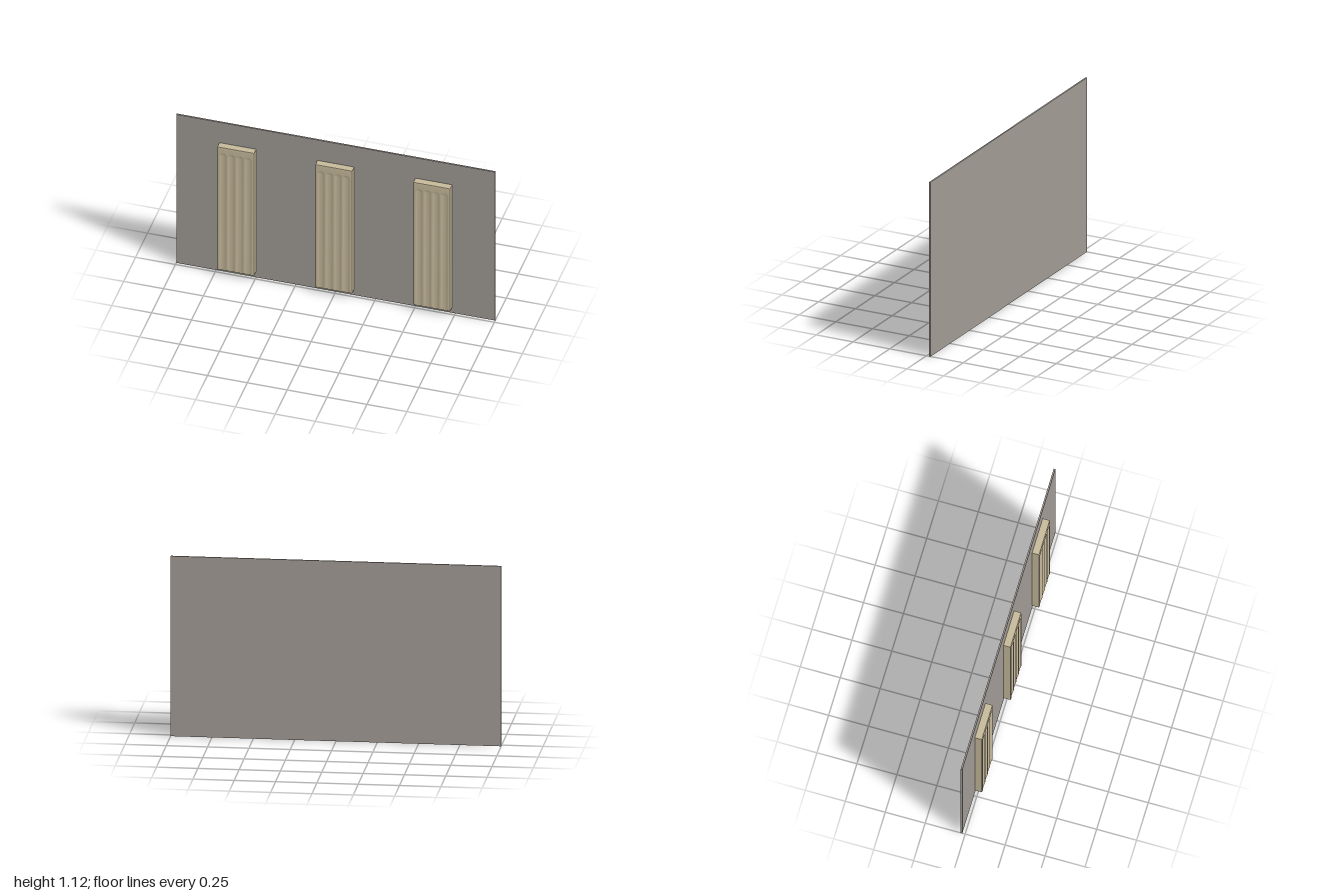
import * as THREE from 'three';

const W = 0.23, H = 0.924, D = 0.046;   // pilaster size
const PITCH = 0.053, R = 0.019;         // flute spacing and half width
const FLUTE_TOP = 0.4;                  // start of the rounded flute end, from pilaster centre
const DEPTH = 0.004, BEVEL = 0.003;

// Depth of the surface below the front plane: soft edge plus four round-topped flutes
function recess(x, y) {
  if (Math.abs(x) > W / 2 - 0.002 || Math.abs(y) > H / 2 - 0.002) return BEVEL;
  let cut = 0;
  for (let i = 0; i < 4; i++) {
    const dx = x - (i - 1.5) * PITCH;
    const r = Math.hypot(dx, Math.max(0, y - FLUTE_TOP)) / R;
    if (r < 1) cut = Math.max(cut, DEPTH * Math.sqrt(1 - r * r));
  }
  return cut;
}

function pilasterGeometry() {
  // Rows gather where the flutes end
  const rows = [-H / 2, -H / 2 + 0.005];
  for (let i = 0; i <= 10; i++) rows.push(FLUTE_TOP + (R * i) / 10);
  rows.push(H / 2 - 0.005, H / 2);
  const n = rows.length - 1;
  const geo = new THREE.BoxGeometry(W, H, D, 48, n, 1);
  const p = geo.attributes.position;
  for (let i = 0; i < p.count; i++) {
    const y = rows[Math.round((p.getY(i) / H + 0.5) * n)];
    p.setY(i, y);
    if (p.getZ(i) > 0) p.setZ(i, D / 2 - recess(p.getX(i), y));
  }
  geo.computeVertexNormals();
  return geo;
}

export function createModel() {
  const group = new THREE.Group();
  const wallMat = new THREE.MeshStandardMaterial({ color: 0xa09a94 });
  wallMat.name = 'warm grey';
  const stoneMat = new THREE.MeshStandardMaterial({ color: 0xc6b99b });
  stoneMat.name = 'sandstone';

  // Thin backing wall
  const wall = new THREE.Mesh(new THREE.BoxGeometry(2, 1.12, 0.01), wallMat);
  wall.name = 'wall';
  wall.position.set(0, 0.56, -0.023);
  group.add(wall);

  // Three fluted pilasters
  const geo = pilasterGeometry();
  [-0.615, 0, 0.615].forEach((x, i) => {
    const pilaster = new THREE.Mesh(geo, stoneMat);
    pilaster.name = ['rightPilaster', 'middlePilaster', 'leftPilaster'][i];
    pilaster.position.set(x, 0.504, 0.005);
    group.add(pilaster);
  });
  return group;
}
